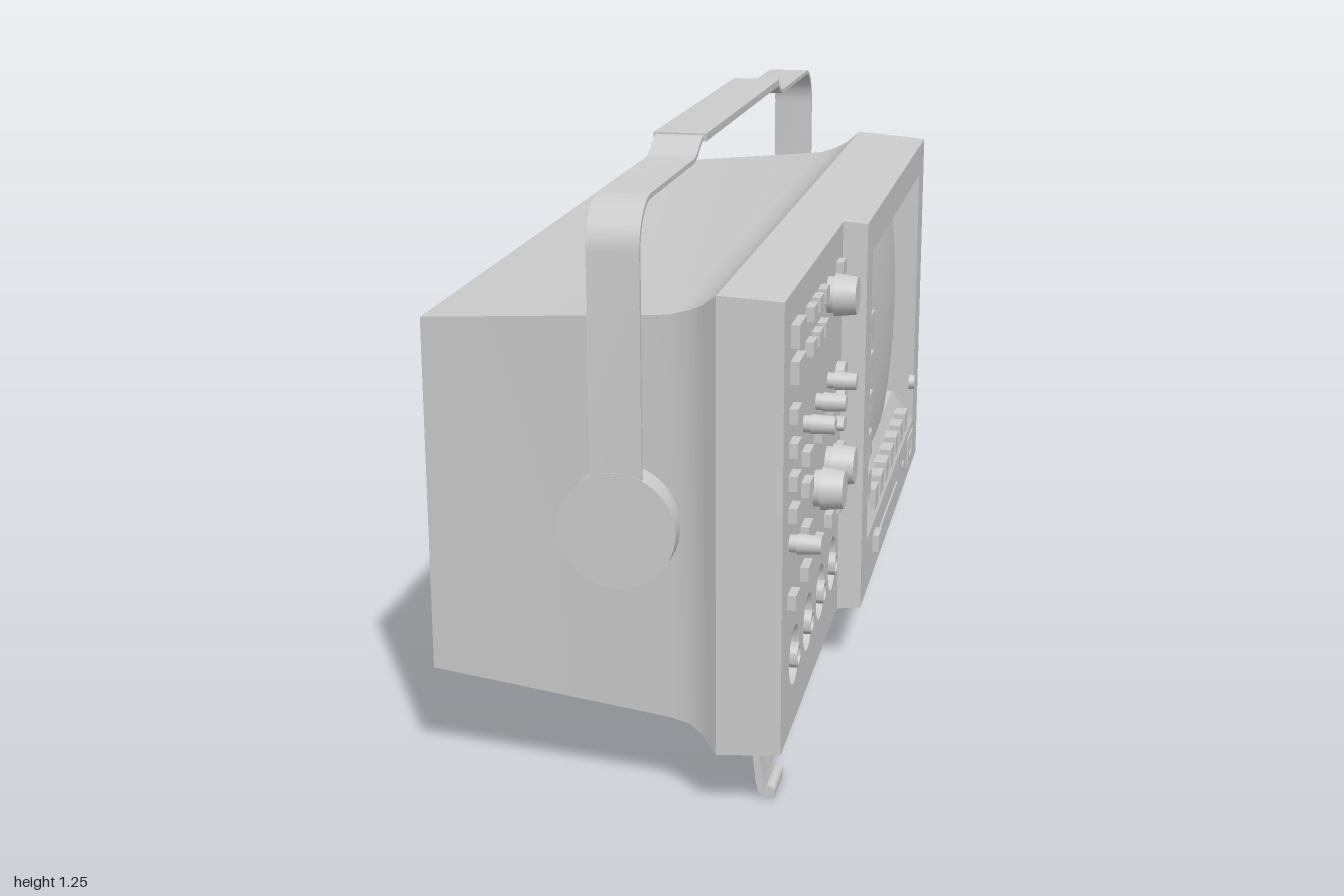
import * as THREE from 'three';
import { toCreasedNormals } from 'three/addons/utils/BufferGeometryUtils.js';

const mat = new THREE.MeshStandardMaterial({ color: 0xcccccc });
const matDouble = new THREE.MeshStandardMaterial({ color: 0xcccccc, side: THREE.DoubleSide });

// Everything is built facing +z (u right, y up, d forward) and turned to face +x at the end.
const PANEL = 0.325, FACE = 0.378, SPLIT = -0.214;

export function createModel() {
  const model = new THREE.Group();
  const unit = new THREE.Group();
  unit.name = 'instrument';
  unit.rotation.y = Math.PI / 2;
  model.add(unit);

  const add = (name, geo, u = 0, y = 0, d = 0, m = mat) => {
    const mesh = new THREE.Mesh(geo, m);
    mesh.name = name;
    mesh.position.set(u, y, d);
    unit.add(mesh);
    return mesh;
  };
  const box = (name, u, y, w, h, d0, d1) =>
    add(name, new THREE.BoxGeometry(w, h, d1 - d0), u, y, (d0 + d1) / 2);
  const disc = (name, u, y, r0, r1, d0, d1, sides = 32) =>
    add(name, new THREE.CylinderGeometry(r1, r0, d1 - d0, sides).rotateX(Math.PI / 2), u, y, (d0 + d1) / 2);

  // Skin over rectangular sections [d, u0, u1, y0, y1]
  const loft = (sections) => {
    const pos = [];
    const rings = sections.map(([d, u0, u1, y0, y1]) => [[u0, y0, d], [u1, y0, d], [u1, y1, d], [u0, y1, d]]);
    for (let i = 0; i < rings.length - 1; i++) {
      for (let j = 0; j < 4; j++) {
        const k = (j + 1) % 4, [p, q] = [rings[i], rings[i + 1]];
        pos.push(...p[j], ...p[k], ...q[k], ...p[j], ...q[k], ...q[j]);
      }
    }
    const g = new THREE.BufferGeometry();
    g.setAttribute('position', new THREE.Float32BufferAttribute(pos, 3));
    return toCreasedNormals(g, 0.5);
  };
  const rect = (u0, u1, y0, y1, Type = THREE.Shape) =>
    new Type([[u0, y0], [u1, y0], [u1, y1], [u0, y1]].map(p => new THREE.Vector2(...p)));

  // Bent strip of even thickness, extruded sideways
  const strip = (pts, t, width) => {
    const side = (s) => pts.map((p, i) => {
      const a = pts[Math.max(i - 1, 0)], b = pts[Math.min(i + 1, pts.length - 1)];
      const n = new THREE.Vector2(a.y - b.y, b.x - a.x).normalize();
      return p.clone().addScaledVector(n, s * t / 2);
    });
    const shape = new THREE.Shape([...side(1), ...side(-1).reverse()]);
    return toCreasedNormals(new THREE.ExtrudeGeometry(shape, { depth: width, bevelEnabled: false }), 0.5);
  };

  // Tapered case with a flared front collar
  add('case', loft([
    [-0.4, -0.882, 0.882, 0.22, 0.95],
    [0.1, -0.925, 0.925, 0.178, 0.99],
    [0.14, -0.932, 0.932, 0.171, 1.002],
    [0.17, -0.947, 0.947, 0.155, 1.017],
    [0.19, -0.965, 0.965, 0.137, 1.034],
    [0.2, -0.972, 0.972, 0.13, 1.042],
    [PANEL, -0.966, 0.966, 0.138, 1.034],
  ]));
  add('backPanel', new THREE.PlaneGeometry(1.764, 0.73).rotateY(Math.PI), 0, 0.585, -0.4);

  // Control panel with four connector sockets
  const sockets = [-0.815, -0.645, -0.477, -0.308], socketY = 0.283;
  const panel = rect(-0.966, SPLIT, 0.138, 1.034);
  for (const u of sockets) panel.holes.push(new THREE.Path().absarc(u, socketY, 0.06, 0, Math.PI * 2, true));
  add('controlPanel', new THREE.ShapeGeometry(panel, 24), 0, 0, PANEL);
  const socketProfile = [[0.06, 0], [0.037, -0.03], [0.025, -0.03], [0.025, 0.01], [0.018, 0.01],
    [0.018, -0.015], [0.009, -0.015], [0.009, 0], [0, 0]].map(p => new THREE.Vector2(...p));
  const socketGeo = toCreasedNormals(new THREE.LatheGeometry(socketProfile, 32).rotateX(Math.PI / 2), 0.5);
  for (const u of sockets) add('connectorSocket', socketGeo, u, socketY, PANEL, matDouble);

  // Raised display housing with a sloped recess
  add('displayHousing', loft([
    [PANEL, SPLIT, 0.966, 0.138, 1.034],
    [FACE, SPLIT + 0.006, 0.962, 0.143, 1.029],
  ]));
  const face = rect(SPLIT + 0.006, 0.962, 0.143, 1.029);
  face.holes.push(rect(-0.115, 0.85, 0.27, 0.95, THREE.Path));
  add('displayFace', new THREE.ShapeGeometry(face), 0, 0, FACE);
  add('displayRecess', loft([
    [FACE, -0.115, 0.85, 0.27, 0.95],
    [0.33, -0.012, 0.762, 0.375, 0.908],
    [0.3, -0.012, 0.762, 0.375, 0.908],
  ]));

  // Bulging screen
  const screen = new THREE.PlaneGeometry(0.778, 0.536, 24, 18);
  const sp = screen.attributes.position;
  for (let i = 0; i < sp.count; i++) sp.setZ(i, -0.14 * sp.getX(i) ** 2 - 0.25 * sp.getY(i) ** 2);
  screen.computeVertexNormals();
  add('screen', screen, 0.375, 0.6415, 0.352);

  // Keys along the recess slopes
  for (let i = 0; i < 5; i++) box('sideSoftKey', -0.075, 0.77 - i * 0.0935, 0.055, 0.06, 0.33, 0.377);
  for (let i = 0; i < 7; i++) box('lowerSoftKey', 0.072 + i * 0.1037, 0.315, 0.06, 0.05, 0.33, 0.377);

  // Disk slot, indicator, power button and port
  box('diskSlot', 0.24, 0.208, 0.48, 0.016, 0.37, 0.382);
  box('ejectButton', 0.025, 0.222, 0.058, 0.04, 0.37, 0.393);
  disc('indicator', 0.624, 0.212, 0.014, 0.014, 0.37, 0.381, 20);
  disc('roundButton', 0.82, 0.387, 0.02, 0.018, 0.37, 0.385, 24);
  const port = rect(-0.053, 0.053, -0.04, 0.04);
  port.holes.push(rect(-0.036, 0.036, -0.016, 0.02, THREE.Path));
  add('portFrame', new THREE.ExtrudeGeometry(port, { depth: 0.01, bevelEnabled: false }), 0.78, 0.212, 0.372);

  // Push buttons on the control panel
  const button = (u, y, w = 0.048, h = 0.03) => box('button', u, y, w, h, 0.32, 0.342);
  for (const y of [0.952, 0.882]) {
    button(-0.854, y, 0.083, 0.045);
    for (const u of [-0.7, -0.62, -0.545, -0.297]) button(u, y);
  }
  for (const y of [0.8, 0.733, 0.668, 0.604, 0.428]) button(-0.88, y);
  for (const y of [0.668, 0.604, 0.513, 0.428]) button(-0.725, y, 0.054);
  for (const u of [-0.57, -0.41]) for (const y of [0.668, 0.428]) button(u, y, 0.054);
  for (let i = 0; i < 6; i++) {
    if (i < 3) disc('ovalButton', -0.275, 0.722 - i * 0.062, 0.015, 0.015, 0.32, 0.345, 24).scale.x = 2;
    else button(-0.275, 0.722 - i * 0.062, 0.058, 0.028);
  }

  // Turning knobs, each on a base ring
  const knob = (u, y, r) => {
    disc('knobBase', u, y, r * 0.85, r * 0.85, 0.32, 0.342);
    disc('knob', u, y, r, r * 0.87, 0.34, 0.387);
  };
  for (const [u, y] of [[-0.425, 0.922], [-0.57, 0.548], [-0.41, 0.548]]) knob(u, y, 0.045);
  for (const [u, y] of [[-0.725, 0.733], [-0.57, 0.733], [-0.41, 0.733], [-0.88, 0.541]]) knob(u, y, 0.02);

  // Carrying handle: one bent strap mirrored about the middle
  const half = [new THREE.Vector2(0.994, 0.56)];
  for (let i = 0; i <= 10; i++) {
    const a = i / 10 * Math.PI / 2;
    half.push(new THREE.Vector2(0.904 + 0.09 * Math.cos(a), 1.118 + 0.09 * Math.sin(a)));
  }
  for (let i = 0; i <= 8; i++) {
    const t = i / 8;
    half.push(new THREE.Vector2(0.53 - 0.1 * t, 1.208 + 0.034 * t * t * (3 - 2 * t)));
  }
  const strap = [...half, ...half.map(p => new THREE.Vector2(-p.x, p.y)).reverse()];
  add('handleStrap', strip(strap, 0.01, 0.1), 0, 0, -0.036);
  box('handleGrip', 0, 1.242, 0.87, 0.016, -0.042, 0.07);

  for (const s of [-1, 1]) {
    // Handle pivots
    const pivot = (name, r, w, u) =>
      add(name, new THREE.CylinderGeometry(r, r, w, 48).rotateZ(Math.PI / 2), s * u, 0.585, 0.013);
    pivot('pivotHub', 0.106, 0.07, 0.93);
    pivot('pivotCap', 0.115, 0.042, 0.979);

    // Tilting feet
    const leg = [[0.256, 0.15], [0.262, 0.09], [0.268, 0.035], [0.273, 0.015], [0.282, 0.007], [0.298, 0.007]]
      .map(p => new THREE.Vector2(...p));
    add('foot', strip(leg, 0.014, 0.1).rotateY(-Math.PI / 2), s * 0.83 + 0.05, 0, 0);
    add('footPad', new THREE.CylinderGeometry(0.012, 0.012, 0.1, 16).rotateZ(Math.PI / 2), s * 0.83, 0.014, 0.288);
  }
  return model;
}
